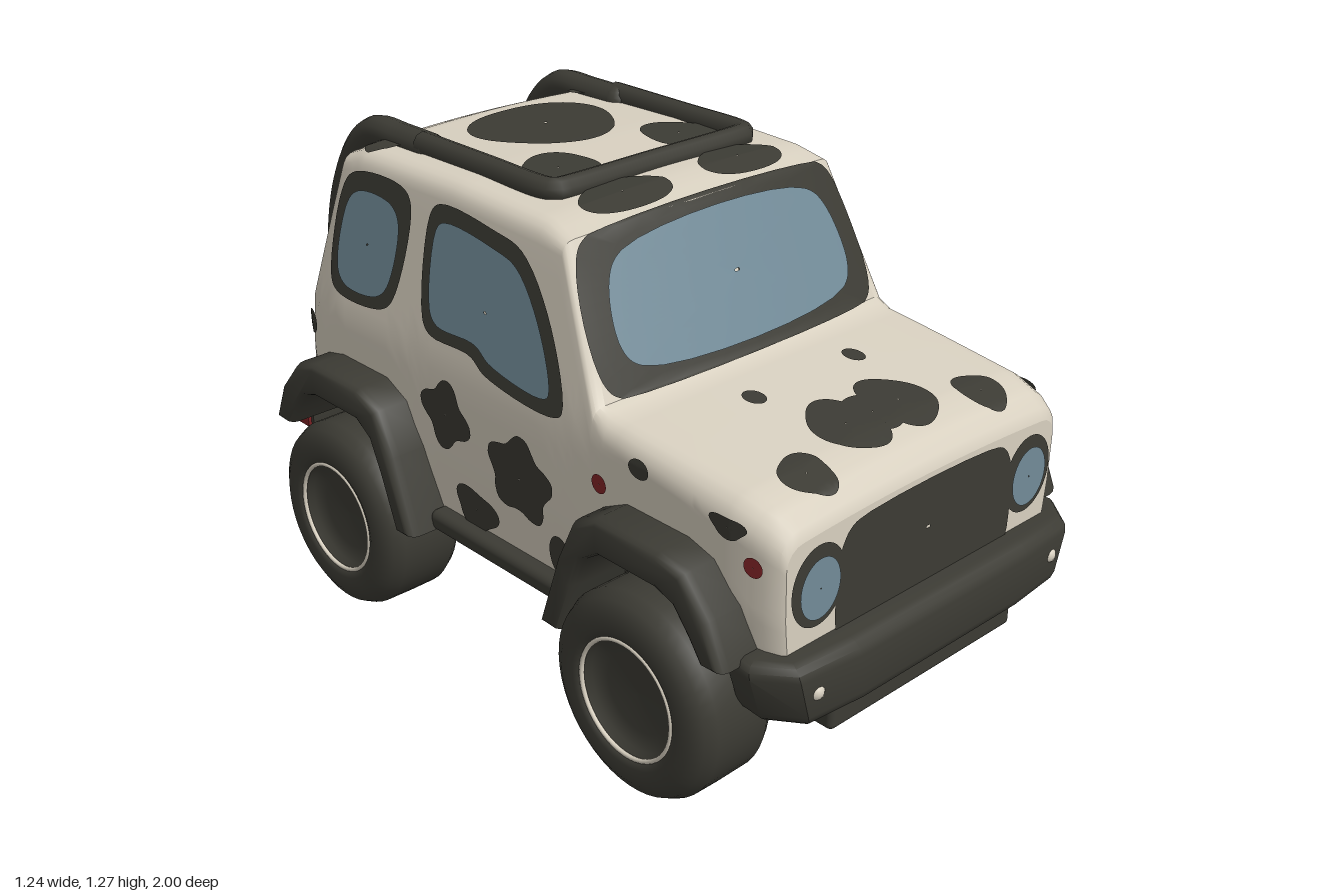
import * as THREE from 'three';
import { toCreasedNormals } from 'three/addons/utils/BufferGeometryUtils.js';
import { RoundedBoxGeometry } from 'three/addons/geometries/RoundedBoxGeometry.js';

const paint = (name, color) => new THREE.MeshStandardMaterial({ name, color, side: THREE.DoubleSide });
const V = (x, y, z) => new THREE.Vector3(x, y, z);

// Body rules: [z, roof height, edge radius, forward bow]
const STATIONS = [
  [-0.84, 0.52, 0.03, 0], [-0.83, 0.6, 0.04, -0.01], [-0.64, 1.195, 0.04, -0.01], [-0.58, 1.22, 0.05, 0],
  [-0.2, 1.228, 0.05, 0], [0.12, 1.218, 0.05, 0.01], [0.2, 1.195, 0.035, 0.03], [0.36, 0.855, 0.035, 0.03],
  [0.4, 0.84, 0.05, 0.02], [0.6, 0.822, 0.06, 0], [0.8, 0.802, 0.07, 0], [0.88, 0.78, 0.07, 0],
  [0.915, 0.755, 0.06, 0], [0.925, 0.725, 0.05, 0]];
const WIDTH = [[0.3, 0.47], [0.55, 0.495], [0.78, 0.5], [0.86, 0.488], [1.24, 0.43]];
const NARROW = [[-0.84, 0.05], [-0.78, 0.02], [-0.65, 0], [0.8, 0], [0.88, 0.012], [0.915, 0.025], [0.925, 0.035]];
const ARCH = [[-0.28, 0.34], [-0.2, 0.54], [-0.11, 0.63], [0.11, 0.63], [0.2, 0.57], [0.27, 0.46]];
const AXLES = [[0.58, 1], [-0.53, -1]];
const CROWN = 0.015;

function interp(table, t, col = 1) {
  if (t <= table[0][0]) return table[0][col];
  for (let i = 1; i < table.length; i++) {
    const a = table[i - 1], b = table[i];
    if (t <= b[0]) return a[col] + (b[col] - a[col]) * (t - a[0]) / (b[0] - a[0]);
  }
  return table[table.length - 1][col];
}
const width = (y, z) => interp(WIDTH, y) - interp(NARROW, z);
const bow = (x, z) => interp(STATIONS, z, 3) * (1 - (x / 0.48) ** 2);
const bottom = z => z > 0 ? interp(ARCH, z - 0.58) : interp(ARCH, -0.53 - z);
function topY(x, z) {
  const yt = interp(STATIONS, z), r = interp(STATIONS, z, 2);
  const flat = width(yt - r, z) - r, over = Math.abs(x) - flat;
  return over < 0 ? yt + CROWN * (1 - (x / flat) ** 2) : yt - r + Math.sqrt(Math.max(0, r * r - over * over));
}

// Surface from rows of points
function grid(rows, crease) {
  const m = rows[0].length, index = [];
  for (let i = 0; i + 1 < rows.length; i++) for (let j = 0; j + 1 < m; j++) {
    const a = i * m + j, b = a + 1, c = a + m;
    index.push(a, c, b, b, c, c + 1);
  }
  const g = new THREE.BufferGeometry().setFromPoints(rows.flat());
  g.setIndex(index);
  g.computeVertexNormals();
  return crease ? toCreasedNormals(g, crease) : g;
}

function section(z) {
  const yb = bottom(z), yt = interp(STATIONS, z), r = interp(STATIONS, z, 2);
  const flat = width(yt - r, z) - r, half = [];
  for (let k = 0; k <= 14; k++) {
    const y = yb + (yt - r - yb) * k / 14;
    half.push([width(y, z), y]);
  }
  for (let k = 1; k <= 4; k++) {
    const a = k * Math.PI / 8;
    half.push([flat + r * Math.cos(a), yt - r + r * Math.sin(a)]);
  }
  for (let k = 1; k <= 6; k++) {
    const x = flat * (1 - k / 6);
    half.push([x, topY(x, z)]);
  }
  const full = [...half, ...half.slice(0, -1).reverse().map(([x, y]) => [-x, y])];
  return full.map(([x, y]) => V(x, y, z + bow(x, z)));
}

// Outlines for painted patches
const blob = (cx, cy, rx, ry, lobes = 0, phase = 0, amp = 0.14) => Array.from({ length: 24 }, (_, i) => {
  const a = i * Math.PI / 12, k = 1 + (lobes ? amp * Math.sin(lobes * a + phase) : 0);
  return [cx + rx * k * Math.cos(a), cy + ry * k * Math.sin(a)];
});
const rounded = (corners, r) => corners.flatMap((p, i) => [-1, 1].map(d => {
  const q = corners[(i + d + corners.length) % corners.length], l = Math.hypot(q[0] - p[0], q[1] - p[1]);
  return [p[0] + (q[0] - p[0]) * r / l, p[1] + (q[1] - p[1]) * r / l];
}));
function patchGeometry(outline, map) {
  const curve = new THREE.CatmullRomCurve3(outline.map(([u, v]) => V(u, v, 0)), true);
  const pts = curve.getPoints(64);
  const c = pts.slice(0, 64).reduce((s, p) => s.add(p), V(0, 0, 0)).divideScalar(64);
  return grid([0.02, 0.2, 0.4, 0.6, 0.8, 0.92, 1].map(t => pts.map(p =>
    map(c.x + (p.x - c.x) * t, c.y + (p.y - c.y) * t))));
}

// Ways of laying a patch on the body
const onSide = (s, e) => (z, y) => V(s * (width(y, z) + e), y, z);
const onTop = (s, e) => (x, z) => V(s * x, topY(x, z) + e, z + bow(x, z));
const onFront = (s, e) => (x, y) => V(s * x, y, 0.925 + e);
const onScreen = e => (x, y) => {
  const z = 0.36 - (y - 0.855) / 0.34 * 0.16;
  return V(x, topY(x, z) + e * 0.4, z + bow(x, z) + e);
};
const onRear = (s, e) => (x, y) => {
  const z = -0.64 - (1.195 - y) / 0.595 * 0.19;
  return V(s * x, topY(x, z) + e * 0.3, z + bow(x, z) - e);
};

// Plan outline (x, z) made into a bar between two heights
function planBar(points, y0, y1, bevel, taper = 1) {
  const g = new THREE.ExtrudeGeometry(new THREE.Shape(points.map(p => new THREE.Vector2(...p))), {
    depth: y1 - y0 - 2 * bevel, bevelThickness: bevel, bevelSize: bevel, bevelOffset: -bevel, bevelSegments: 3 });
  g.rotateX(Math.PI / 2).translate(0, y1 - bevel, 0);
  const p = g.attributes.position;
  for (let i = 0; i < p.count; i++) {
    const t = (p.getY(i) - y0) / (y1 - y0);
    p.setX(i, p.getX(i) * (taper + (1 - taper) * t));
  }
  return toCreasedNormals(g, 0.7);
}
const mirrored = half => [...half, ...half.slice().reverse().map(([x, z]) => [-x, z])];

export function createModel() {
  const car = new THREE.Group();
  car.name = 'offRoader';
  const cream = paint('cream', 0xd8d0c0), dark = paint('charcoal', 0x3c3b34);
  const glass = paint('glass', 0x728b98), red = paint('red', 0x852528);
  const add = (name, geometry, material, parent = car) => {
    const m = new THREE.Mesh(geometry, material);
    m.name = name;
    parent.add(m);
    return m;
  };
  const patch = (name, material, outline, map) => add(name, patchGeometry(outline, map), material);
  const box = (name, mat, w, h, d, x, y, z, r = 0.02) =>
    add(name, new RoundedBoxGeometry(w, h, d, 3, r), mat).position.set(x, y, z);

  // Body shell, end caps and floor
  const zs = new Set(STATIONS.map(s => s[0]));
  for (const [c, s] of AXLES) for (const a of ARCH) zs.add(+(c + s * a[0]).toFixed(3));
  for (let z = -0.8; z < 0.9; z += 0.04) zs.add(+z.toFixed(3));
  const rows = [...zs].sort((a, b) => b - a).map(section), m = rows[0].length;
  const cap = row => row.slice(0, (m + 1) / 2).map((p, j) => [p, row[m - 1 - j]]);
  add('bodyShell', grid(rows, 0.7), cream);
  add('noseFace', grid(cap(rows[0])), cream);
  add('tailFace', grid(cap(rows[rows.length - 1]).map(r => r.reverse())), cream);
  add('floor', grid(rows.map(r => [r[m - 1], r[0]])), dark);
  box('underbody', dark, 0.7, 0.3, 1.62, 0, 0.46, 0.02);
  box('skidPlate', dark, 0.65, 0.14, 0.13, 0, 0.285, 0.885, 0.015);

  // Windscreen and rear window
  patch('windscreenFrame', dark, rounded([[-0.455, 0.855], [0.455, 0.855], [0.42, 1.195], [-0.42, 1.195]], 0.045), onScreen(0.004));
  patch('windscreen', glass, rounded([[-0.39, 0.905], [0.39, 0.905], [0.352, 1.145], [-0.352, 1.145]], 0.05), onScreen(0.009));
  patch('rearWindowFrame', dark, rounded([[-0.41, 0.78], [0.41, 0.78], [0.375, 1.13], [-0.375, 1.13]], 0.05), onRear(1, 0.004));
  patch('rearWindow', glass, rounded([[-0.38, 0.82], [0.38, 0.82], [0.35, 1.115], [-0.35, 1.115]], 0.05), onRear(1, 0.009));
  patch('highBrakeLight', red, rounded([[-0.1, 1.145], [0.1, 1.145], [0.1, 1.175], [-0.1, 1.175]], 0.012), onRear(1, 0.009));

  // Grille
  patch('grille', dark, rounded([[-0.3, 0.44], [0.3, 0.44], [0.3, 0.66], [0.26, 0.718], [-0.26, 0.718], [-0.3, 0.66]], 0.02), onFront(1, 0.004));

  const doorFrame = [[0.26, 0.81], [0.2, 0.99], [0.08, 1.135], [-0.03, 1.16], [-0.24, 1.168], [-0.272, 1.13], [-0.272, 0.88],
    [-0.24, 0.845], [-0.08, 0.84], [-0.02, 0.81], [0.22, 0.79]];
  const doorGlass = [[0.215, 0.84], [0.17, 0.97], [0.07, 1.095], [-0.02, 1.12], [-0.215, 1.13], [-0.24, 1.1], [-0.24, 0.91],
    [-0.21, 0.878], [-0.06, 0.875], [0, 0.845], [0.19, 0.825]];
  const quarterFrame = rounded([[-0.338, 1.172], [-0.62, 1.165], [-0.672, 0.84], [-0.4, 0.85]], 0.04);
  const quarterGlass = rounded([[-0.378, 1.12], [-0.595, 1.125], [-0.635, 0.87], [-0.42, 0.878]], 0.04);

  const sideSpots = [blob(0.1, 0.58, 0.11, 0.105, 5, 0.6), blob(-0.18, 0.65, 0.085, 0.085, 4, 2.4, 0.18),
    blob(-0.09, 0.415, 0.08, 0.06, 3, 1), blob(0.23, 0.415, 0.04, 0.06), blob(0.79, 0.742, 0.05, 0.026, 3),
    blob(0.52, 0.772, 0.032, 0.024), blob(-0.775, 0.71, 0.022, 0.035)];
  const topSpots = [blob(0.2, -0.09, 0.1, 0.09, 3, 1, 0.08), blob(0.19, 0.12, 0.13, 0.065, 3, 0, 0.06),
    rounded([[0.25, -0.6], [0.42, -0.6], [0.42, -0.52], [0.25, -0.52]], 0.03),
    blob(0.3, 0.825, 0.062, 0.068, 3, 2, 0.08), blob(0.17, 0.54, 0.026, 0.034), blob(0.09, 0.75, 0.085, 0.105, 3, 1.2, 0.07)];
  const rearSpots = [blob(0.39, 0.7, 0.045, 0.06, 3), blob(0.3, 0.67, 0.035, 0.04)];
  patch('roofSpot', dark, blob(0, -0.37, 0.195, 0.175, 3, Math.PI, 0.07), onTop(1, 0.006));
  patch('hoodSpotMiddle', dark, blob(0, 0.75, 0.07, 0.075), onTop(1, 0.005));

  for (const s of [1, -1]) {
    const side = s > 0 ? 'left' : 'right';
    // Side glass, spots and marker lights
    patch(side + 'DoorFrame', dark, doorFrame, onSide(s, 0.004));
    patch(side + 'DoorWindow', glass, doorGlass, onSide(s, 0.009));
    patch(side + 'QuarterFrame', dark, quarterFrame, onSide(s, 0.004));
    patch(side + 'QuarterWindow', glass, quarterGlass, onSide(s, 0.009));
    sideSpots.forEach(o => patch(side + 'SideSpot', dark, o, onSide(s, 0.005)));
    topSpots.forEach(o => patch(side + 'TopSpot', dark, o, onTop(s, 0.006)));
    rearSpots.forEach(o => patch(side + 'RearSpot', dark, o, onRear(s, 0.005)));
    for (const [z, y] of [[0.86, 0.67], [0.39, 0.685]]) patch(side + 'Marker', red, blob(z, y, 0.024, 0.024), onSide(s, 0.007));

    // Headlights and fog lights
    patch(side + 'HeadlightRim', dark, blob(0.365, 0.605, 0.085, 0.1), onFront(s, 0.005));
    patch(side + 'Headlight', glass, blob(0.365, 0.6, 0.063, 0.075), onFront(s, 0.011));
    const fog = add(side + 'FogLight', new THREE.SphereGeometry(0.022, 16, 10), cream);
    fog.position.set(s * 0.415, 0.385, 0.975);

    // Sill
    box(side + 'Sill', dark, 0.07, 0.055, 0.56, s * 0.485, 0.335, 0.03);

    for (const [c, dir] of AXLES) {
      const end = dir > 0 ? 'Front' : 'Rear';
      // Wheel arch flare
      const outline = [[0.27, 0.46], [0.23, 0.55], [0.16, 0.63], [0.09, 0.65], [-0.1, 0.65], [-0.17, 0.615], [-0.22, 0.51], [-0.285, 0.325],
        [-0.25, 0.325], [-0.2, 0.46], [-0.16, 0.55], [-0.1, 0.59], [0.09, 0.59], [0.15, 0.57], [0.2, 0.51], [0.235, 0.46]];
      const flare = new THREE.ExtrudeGeometry(new THREE.Shape(outline.map(([d, y]) => new THREE.Vector2(-s * (c + dir * d), y))),
        { depth: 0.13, bevelThickness: 0.035, bevelSize: 0.016, bevelSegments: 3 });
      flare.translate(0, 0, s > 0 ? 0.435 : -0.565).rotateY(Math.PI / 2);
      if (s > 0) add(side + end + 'Flare', toCreasedNormals(flare, 0.8), dark);
      else {
        flare.scale(1, 1, -1);
        const p = flare.attributes.position;
        for (let i = 0; i < p.count; i += 3) { // restore corner order after the flip
          const a = V().fromBufferAttribute(p, i), b = V().fromBufferAttribute(p, i + 1);
          p.setXYZ(i, b.x, b.y, b.z);
          p.setXYZ(i + 1, a.x, a.y, a.z);
        }
        add(side + end + 'Flare', toCreasedNormals(flare, 0.8), dark);
      }

      // Wheel
      const wheel = new THREE.Group();
      wheel.name = side + end + 'Wheel';
      wheel.position.set(s * 0.5, 0.255, dir > 0 ? 0.59 : -0.54);
      wheel.rotation.z = -s * Math.PI / 2;
      const profile = [[0, -0.09], [0.15, -0.09], [0.17, -0.118], [0.21, -0.118], [0.24, -0.105], [0.255, -0.08], [0.256, 0], [0.255, 0.07],
        [0.24, 0.1], [0.21, 0.118], [0.17, 0.119], [0.153, 0.112], [0.14, 0.085], [0.1, 0.072], [0, 0.07]];
      add('tyre', new THREE.LatheGeometry(profile.map(p => new THREE.Vector2(...p)), 48), dark, wheel);
      const ring = add('rimRing', new THREE.TorusGeometry(0.148, 0.006, 8, 48), cream, wheel);
      ring.rotation.x = Math.PI / 2;
      ring.position.y = 0.11;
      car.add(wheel);
    }

    // Rear roll bar
    const bar = new THREE.CatmullRomCurve3([[1.225, -0.44], [1.225, -0.55], [1.22, -0.67], [1.16, -0.75], [1.04, -0.82], [0.9, -0.86],
      [0.75, -0.868], [0.6, -0.86]].map(([y, z]) => V(s * 0.312, y, z)));
    add(side + 'RollBar', new THREE.TubeGeometry(bar, 40, 0.042, 12), dark);
    for (const t of [0, 1]) add(side + 'RollBarEnd', new THREE.SphereGeometry(0.042, 12, 8), dark).position.copy(bar.getPoint(t));

    // Tail lights
    const tail = [[0.51, -0.8], [0.51, -0.86], [0.43, -0.918], [0.37, -0.918], [0.37, -0.82]].map(([x, z]) => [s * x, z]);
    add(side + 'TailLight', planBar(tail, 0.385, 0.485, 0.012), red);
    box(side + 'ReverseLight', cream, 0.08, 0.06, 0.04, s * 0.335, 0.435, -0.9, 0.012);
  }

  // Roof rack hoop
  const hoop = new THREE.CatmullRomCurve3([[-0.322, -0.46], [-0.322, -0.2], [-0.322, 0], [-0.31, 0.03], [-0.28, 0.036], [0, 0.036],
    [0.28, 0.036], [0.31, 0.03], [0.322, 0], [0.322, -0.2], [0.322, -0.46]].map(([x, z]) => V(x, 1.24, z)));
  add('roofRack', new THREE.TubeGeometry(hoop, 90, 0.031, 10), dark);

  // Bumpers
  add('frontBumper', planBar(mirrored([[0.545, 0.83], [0.55, 0.9], [0.48, 0.985], [0.3, 1]]), 0.295, 0.465, 0.035, 0.9), dark);
  add('rearBumper', planBar(mirrored([[0.5, -0.79], [0.5, -0.85], [0.42, -0.91]]), 0.375, 0.5, 0.02), dark);

  // Spare wheel with patched cover
  const spare = new THREE.Group();
  spare.name = 'spareWheel';
  spare.position.set(0, 0.755, -0.9);
  add('spareTyre', new THREE.LatheGeometry([[0, -0.08], [0.2, -0.08], [0.245, -0.055], [0.255, -0.02], [0.255, 0.04], [0.235, 0.075],
    [0.2, 0.092], [0.1, 0.094], [0, 0.094]].map(p => new THREE.Vector2(...p)), 48).rotateX(-Math.PI / 2), dark, spare);
  for (const [x, y, rx, ry, lobes] of [[-0.11, 0.08, 0.06, 0.05, 3], [0.1, 0.07, 0.07, 0.045, 4], [-0.1, -0.06, 0.075, 0.035, 4],
    [0.1, -0.07, 0.06, 0.05, 3], [0, -0.15, 0.04, 0.03, 3]]) {
    add('coverSpot', patchGeometry(blob(x, y, rx, ry, lobes, x * 9, 0.25), (u, v) => V(u, v, -0.099)), cream, spare);
  }
  car.add(spare);
  return car;
}
